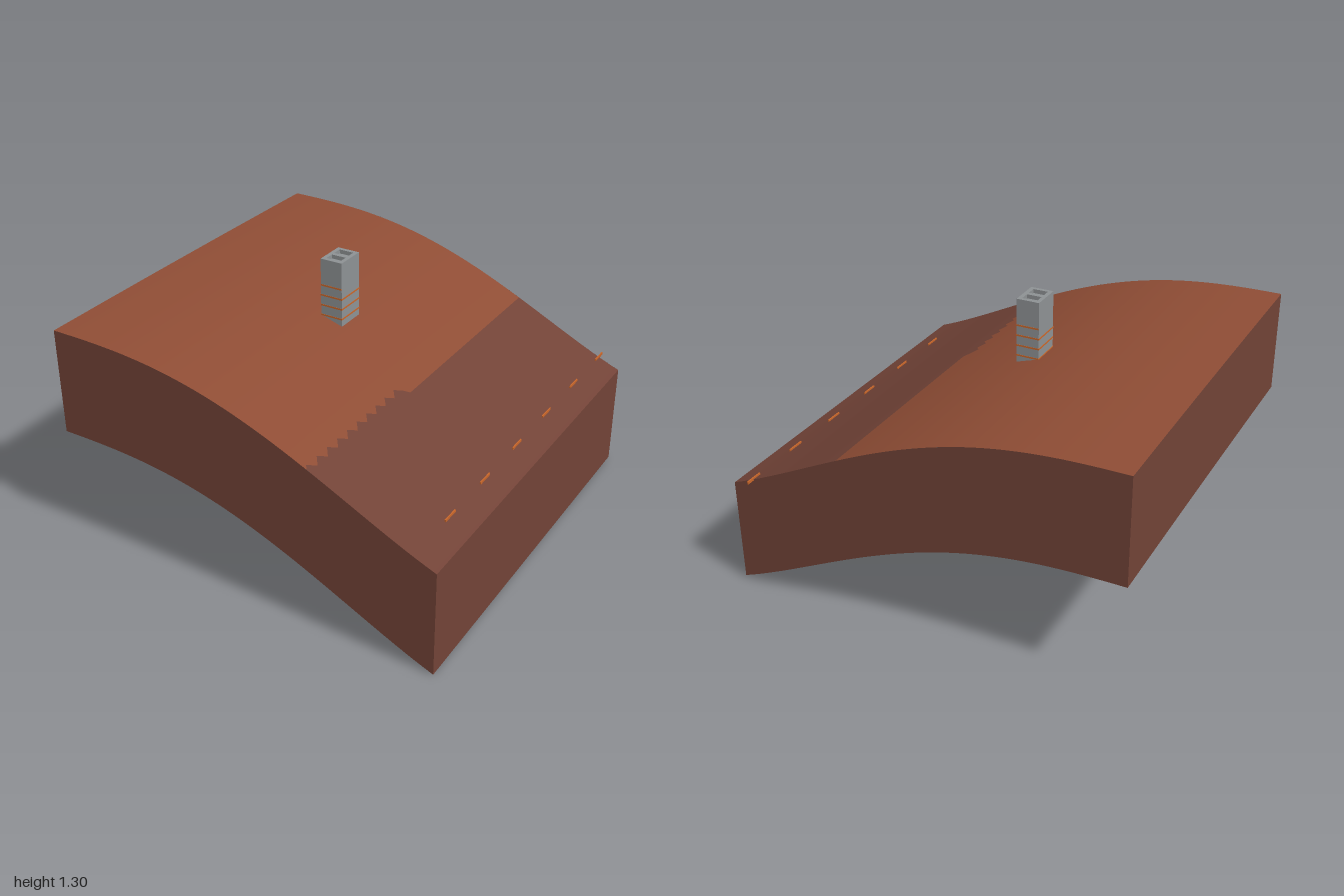
import * as THREE from 'three';

const X0 = -0.98, X1 = 0.975, Z0 = -0.96, Z1 = 1, SKIRT = 0.525;

// hillside height: flat at the left, falling away to the right, with a slight swell along z
function height(x, z) {
  const u = x - X0, t = u / (X1 - X0);
  const drop = u * u * (0.0154 + 0.1911 * u - 0.0624 * u * u);
  const swell = 0.008 * (1 - ((z + 0.35) / 1.35) ** 2) * (1 - t) + 0.006 * (1 - z) * t;
  return 1.101 - drop + swell;
}

// border between the two soils: straight at the back, scalloped at the front
const border = z => (z > 0.2 ? 0.36 + 0.015 * Math.sin((z - 0.2) * Math.PI * 2 / 0.08) : 0.4);

// surface from a function of (u, v), facing v cross u
function sheet(fn, nu, nv) {
  const pos = [], idx = [];
  for (let j = 0; j <= nv; j++) for (let i = 0; i <= nu; i++) pos.push(...fn(i / nu, j / nv));
  for (let j = 0; j < nv; j++) for (let i = 0; i < nu; i++) {
    const a = j * (nu + 1) + i, b = a + nu + 1;
    idx.push(a, b, a + 1, a + 1, b, b + 1);
  }
  const g = new THREE.BufferGeometry();
  g.setAttribute('position', new THREE.Float32BufferAttribute(pos, 3));
  g.setIndex(idx);
  g.computeVertexNormals();
  return g;
}

export function createModel() {
  const mat = (name, color, side = THREE.FrontSide) => {
    const m = new THREE.MeshStandardMaterial({ color, side });
    m.name = name;
    return m;
  };
  const redSoil = mat('red soil', 0x8f4d35, THREE.DoubleSide);
  const darkSoil = mat('dark soil', 0x724337, THREE.DoubleSide);
  const concrete = mat('concrete', 0x8e9294);
  const orange = mat('orange', 0xc8662a);

  const model = new THREE.Group();
  const add = (name, geometry, material, parent = model, x = 0, y = 0, z = 0) => {
    const m = new THREE.Mesh(geometry, material);
    m.name = name;
    m.position.set(x, y, z);
    parent.add(m);
    return m;
  };
  const lerp = THREE.MathUtils.lerp;

  // ground, in two soils that meet along the border
  const ground = (from, to) => sheet((u, v) => {
    const z = lerp(Z0, Z1, v), x = lerp(from(z), to(z), u);
    return [x, height(x, z), z];
  }, 32, 98);
  add('upperGround', ground(() => X0, border), redSoil);
  add('lowerGround', ground(border, () => X1), darkSoil);

  // skirt walls hanging from the four edges; the underside stays open
  const wall = (name, xa, za, xb, zb) => add(name, sheet((u, v) => {
    const x = lerp(xa, xb, u), z = lerp(za, zb, u);
    return [x, height(x, z) - SKIRT * v, z];
  }, 40, 1), darkSoil);
  wall('frontWall', X0, Z1, X1, Z1);
  wall('backWall', X1, Z0, X0, Z0);
  wall('leftWall', X1, Z1, X1, Z0);
  wall('rightWall', X0, Z0, X0, Z1);

  // block tower
  const tower = new THREE.Group();
  tower.name = 'tower';
  tower.position.set(-0.085, 0, 0.022);
  model.add(tower);
  const W = 0.114, D = 0.154, course = 0.051, top = 1.302, rim = 0.02;
  for (let i = 0; i < 6; i++) {
    const hi = top - rim - 0.012 - (5 - i) * course;
    add('blockCourse', new THREE.BoxGeometry(W, course, D), concrete, tower, 0, hi - course / 2, 0);
  }
  add('topCourse', new THREE.BoxGeometry(W, 0.012, D), concrete, tower, 0, top - rim - 0.006, 0);

  // hollow rim of the top block with two cells
  const outline = new THREE.Shape([[-1, -1], [1, -1], [1, 1], [-1, 1]]
    .map(([a, b]) => new THREE.Vector2(a * W / 2, b * D / 2)));
  for (const s of [-1, 1]) {
    outline.holes.push(new THREE.Path([[-1, -1], [-1, 1], [1, 1], [1, -1]]
      .map(([a, b]) => new THREE.Vector2(a * 0.037, s * 0.034 + b * 0.024))));
  }
  const rimGeometry = new THREE.ExtrudeGeometry(outline, { depth: rim, bevelEnabled: false });
  rimGeometry.rotateX(-Math.PI / 2);
  add('hollowRim', rimGeometry, concrete, tower, 0, top - rim, 0);

  // orange joints between the lower courses; the highest is on the front and back only
  for (const y of [1.017, 1.068, 1.119]) {
    add('joint', new THREE.BoxGeometry(W + 0.003, 0.008, D + 0.003), orange, tower, 0, y, 0);
  }
  add('upperJoint', new THREE.BoxGeometry(W - 0.002, 0.008, D + 0.003), orange, tower, 0, 1.17, 0);

  // row of orange dashes along the low edge
  for (let i = 0; i < 6; i++) {
    const z = -0.955 + i * 0.327;
    add('edgeDash', new THREE.BoxGeometry(0.006, 0.014, 0.09), orange, model, 0.865, height(0.865, z) + 0.003, z);
  }
  return model;
}
